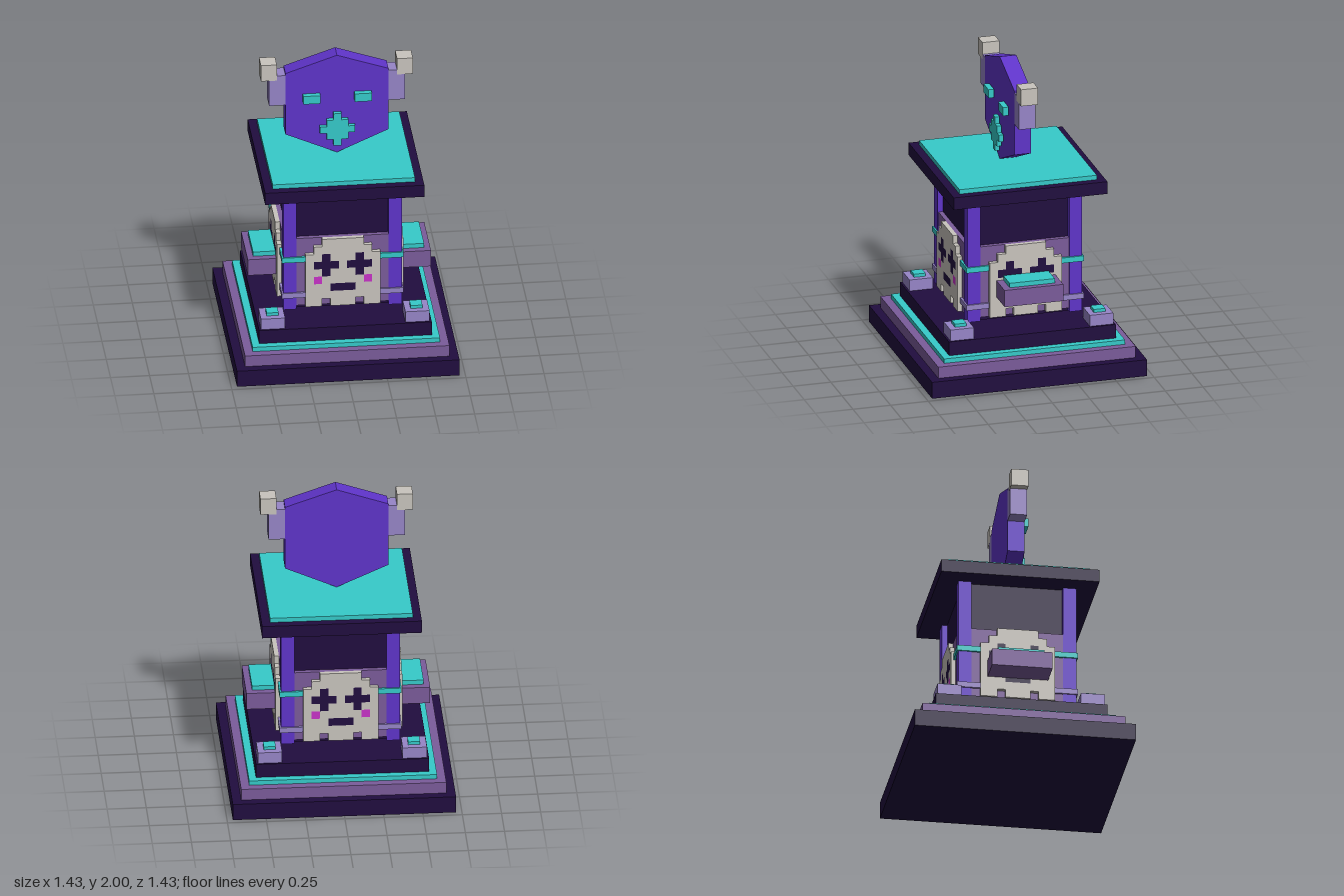
import * as THREE from 'three';

const mat = (name, color) => {
  const m = new THREE.MeshStandardMaterial({ color });
  m.name = name;
  return m;
};

export function createModel() {
  const dark = mat('dark indigo', 0x210d3f);
  const purple = mat('dusty purple', 0x7b5c9b);
  const teal = mat('teal', 0x36cbca);
  const violet = mat('violet', 0x5f34ca);
  const lavender = mat('lavender', 0x9786c8);
  const bone = mat('bone', 0xc9c5be);
  const magenta = mat('magenta', 0xc832c8);

  const model = new THREE.Group();
  model.name = 'shrine';

  // Box from its minimum and maximum corners
  const box = (parent, name, material, x0, x1, y0, y1, z0, z1) => {
    const mesh = new THREE.Mesh(new THREE.BoxGeometry(x1 - x0, y1 - y0, z1 - z0), material);
    mesh.position.set((x0 + x1) / 2, (y0 + y1) / 2, (z0 + z1) / 2);
    mesh.name = name;
    parent.add(mesh);
    return mesh;
  };
  const slab = (name, material, half, y0, y1) =>
    box(model, name, material, -half, half, y0, y1, -half, half);

  // Stepped base, body and roof
  slab('baseStep', dark, 0.713, 0, 0.111);
  slab('middleStep', purple, 0.655, 0.111, 0.187);
  slab('baseTrim', teal, 0.6, 0.187, 0.217);
  slab('topStep', dark, 0.553, 0.217, 0.31);
  slab('body', dark, 0.345, 0.355, 1.19);
  slab('roof', dark, 0.51, 1.19, 1.273);
  slab('roofTrim', teal, 0.456, 1.273, 1.303);

  // Corner posts with bands, and the lamps on the base
  for (let i = 0; i < 4; i++) {
    const corner = new THREE.Group();
    corner.name = 'corner';
    corner.rotation.y = (i * Math.PI) / 2;
    const cube = (name, m, a, b, y0, y1) => box(corner, name, m, a, b, y0, y1, a, b);
    cube('post', violet, 0.295, 0.38, 0.36, 1.19);
    cube('upperBand', teal, 0.237, 0.39, 0.7, 0.736);
    cube('lowerBand', lavender, 0.237, 0.39, 0.445, 0.481);
    cube('lampBlock', lavender, 0.385, 0.54, 0.31, 0.385);
    cube('lampCap', teal, 0.423, 0.499, 0.385, 0.406);
    model.add(corner);
  }

  // Pixel skull on each of the four sides
  const skullRows = [
    '  BBBBB  ',
    ' BBBBBBB ',
    'BBDBBBDBB',
    'BDDDBDDDB',
    'BBDBBBDBB',
    'BMBBBBBMB',
    'BBBDDDBBB',
    'BBBBBBBBB',
    'BB BBB BB',
  ];
  const skullColours = { B: bone, D: dark, M: magenta };
  const cell = 0.0533;
  for (let i = 0; i < 4; i++) {
    const panel = new THREE.Group();
    panel.name = 'skullPanel';
    panel.rotation.y = (i * Math.PI) / 2;
    box(panel, 'panelBacking', purple, -0.3, 0.3, 0.385, 0.865, 0.34, 0.375);
    skullRows.forEach((row, r) => {
      const top = 0.865 - r * cell;
      // one box per run of equal pixels
      for (const run of row.matchAll(/B+|D+|M+/g)) {
        const x0 = (run.index - 4.5) * cell;
        box(panel, 'skullPixels', skullColours[run[0][0]],
          x0, x0 + run[0].length * cell, top - cell, top, 0.375, 0.405);
      }
    });
    model.add(panel);
  }

  // Side shelves
  for (const s of [-1, 1]) {
    const side = (name, m, a, b, y0, y1, z) =>
      box(model, name, m, Math.min(s * a, s * b), Math.max(s * a, s * b), y0, y1, -z, z);
    side('shelf', purple, 0.39, 0.587, 0.522, 0.635, 0.195);
    side('shelfTop', teal, 0.39, 0.548, 0.635, 0.665, 0.15);
    // Ears and horns of the head
    side('ear', lavender, 0.33, 0.435, 1.66, 1.873, 0.055);
    side('horn', bone, 0.385, 0.487, 1.84, 1.953, 0.056);
    // Eyes
    const ex = s * 0.165;
    box(model, 'eye', teal, ex - 0.055, ex + 0.055, 1.68, 1.737, 0.06, 0.097);
  }

  // Hexagonal head plate
  const outline = [[0, 1.303], [0.33, 1.45], [0.33, 1.887], [0, 2], [-0.33, 1.887], [-0.33, 1.45]];
  const headGeo = new THREE.ExtrudeGeometry(
    new THREE.Shape(outline.map(([x, y]) => new THREE.Vector2(x, y))),
    { depth: 0.11, bevelEnabled: false });
  headGeo.translate(0, 0, -0.055);
  const head = new THREE.Mesh(headGeo, violet);
  head.name = 'head';
  model.add(head);

  // Diamond mouth in stepped rows
  [0.025, 0.069, 0.113, 0.069, 0.025].forEach((w, r) => {
    const top = 1.6 - r * 0.046;
    box(model, 'mouthRow', teal, -w, w, top - 0.046, top, 0.063, 0.093);
  });

  return model;
}
